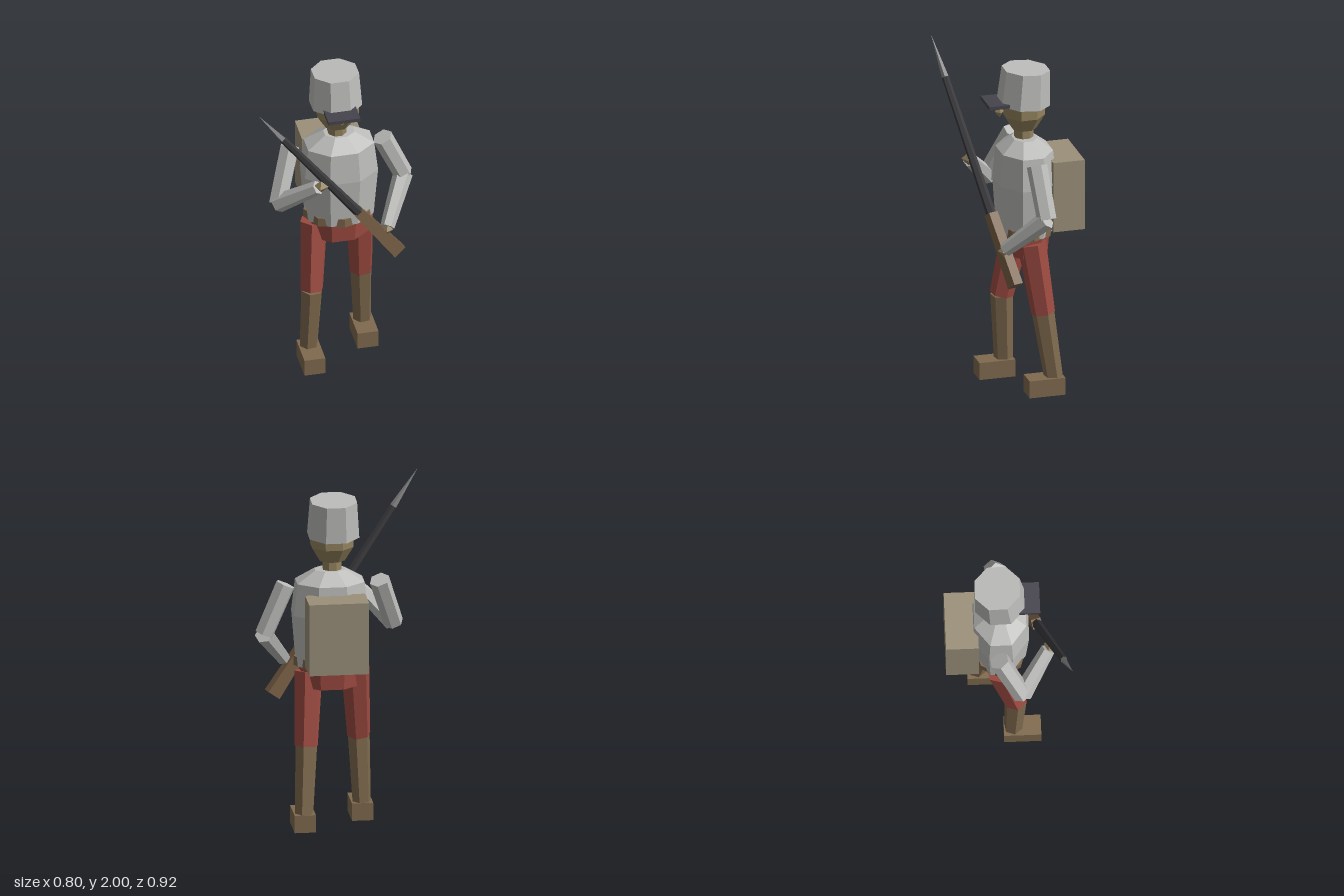
import * as THREE from 'three';

const paint = (name, color) => {
  const m = new THREE.MeshStandardMaterial({ color });
  m.name = name;
  return m;
};

export function createModel() {
  const cloth = paint('grey cloth', 0xbcbcba);
  const red = paint('red trousers', 0x9f4c42);
  const leather = paint('brown leather', 0x7f6a4e);
  const skin = paint('skin', 0x94845f);
  const canvas = paint('pack canvas', 0x9b907a);
  const wood = paint('stock wood', 0x7a6146);
  const iron = paint('barrel iron', 0x3a3a3d);
  const visorDark = paint('visor', 0x45444d);
  const steel = paint('bayonet steel', 0x8a8a8a);

  const TURN = 0.349; // the figure stands turned towards its left
  const V = (x, y, z) => new THREE.Vector3(x, y, z);
  const model = new THREE.Group();
  model.name = 'soldier';
  const body = new THREE.Group();
  body.name = 'body';
  body.position.set(-0.01, 0, -0.105);
  body.rotation.y = TURN;
  model.add(body);

  // Faceted mesh
  const add = (parent, name, geometry, material) => {
    const g = geometry.index ? geometry.toNonIndexed() : geometry;
    g.computeVertexNormals();
    const mesh = new THREE.Mesh(g, material);
    mesh.name = name;
    parent.add(mesh);
    return mesh;
  };
  // Eight-sided turned shape, closed at both ends, flat side forward
  const turned = (name, profile, depth, material, phase = Math.PI / 8) => {
    const pts = [[0, profile[0][1]], ...profile, [0, profile[profile.length - 1][1]]];
    const g = new THREE.LatheGeometry(pts.map(p => new THREE.Vector2(...p)), 8, phase);
    g.scale(1, 1, depth);
    return add(body, name, g, material);
  };
  const box = (parent, name, size, pos, material) => {
    const mesh = add(parent, name, new THREE.BoxGeometry(...size), material);
    mesh.position.set(...pos);
    return mesh;
  };
  // Tapered prism between two points
  const limb = (name, a, b, ra, rb, material, sides = 6) => {
    const dir = b.clone().sub(a);
    const mesh = add(model, name, new THREE.CylinderGeometry(rb, ra, dir.length(), sides), material);
    mesh.position.copy(a).addScaledVector(dir, 0.5);
    mesh.quaternion.setFromUnitVectors(V(0, 1, 0), dir.normalize());
    return mesh;
  };

  // Trunk
  turned('jacket', [[0.208, 0.97], [0.235, 1.28], [0.212, 1.47], [0.095, 1.54]], 0.77, cloth);
  turned('belt', [[0.212, 0.965], [0.212, 1.02]], 0.77, leather, 0);
  turned('pelvis', [[0.175, 0.84], [0.19, 0.97]], 0.75, red);
  box(body, 'backpack', [0.35, 0.43, 0.19], [-0.015, 1.205, -0.224], canvas);

  // Head and cap
  turned('neck', [[0.057, 1.5], [0.057, 1.62]], 1, skin).position.x = -0.012;
  turned('head', [[0.078, 1.595], [0.13, 1.68], [0.132, 1.75]], 0.95, skin).position.x = -0.012;
  const nose = add(body, 'nose', new THREE.OctahedronGeometry(0.028), skin);
  nose.position.set(-0.018, 1.705, 0.145);
  nose.scale.y = 1.25;
  const cap = add(body, 'cap',
    new THREE.CylinderGeometry(0.142, 0.157, 0.215, 8, 1, false, Math.PI / 8), cloth);
  cap.position.set(-0.02, 1.85, -0.008);
  cap.rotation.x = -0.07;
  box(body, 'visor', [0.19, 0.022, 0.123], [-0.019, 1.765, 0.169], visorDark);

  // Legs: hip, knee, ankle, foot centre
  const legs = {
    right: [V(-0.15, 0.93, -0.055), V(-0.15, 0.505, 0.036), V(-0.17, 0.09, 0.027), [-0.15, 0.0525, 0.077]],
    left: [V(0.105, 0.93, -0.155), V(0.103, 0.495, -0.222), V(0.102, 0.09, -0.283), [0.12, 0.0525, -0.232]],
  };
  for (const [side, [hip, knee, ankle, foot]] of Object.entries(legs)) {
    limb(side + 'Thigh', knee, hip, 0.07, 0.085, red);
    limb(side + 'Shin', ankle, knee, 0.055, 0.066, leather);
    box(model, side + 'Boot', [0.124, 0.105, 0.216], foot, leather).rotation.y = TURN;
  }

  // Arms: shoulder, elbow, wrist, hand centre, hand radius
  const arms = {
    right: [V(-0.285, 1.465, -0.02), V(-0.335, 1.165, 0.135), V(-0.09, 1.355, 0.215), V(-0.07, 1.37, 0.222), 0.042],
    left: [V(0.232, 1.455, -0.195), V(0.345, 1.165, -0.26), V(0.285, 0.95, -0.015), V(0.287, 0.94, -0.005), 0.034],
  };
  for (const [side, [shoulder, elbow, wrist, hand, r]] of Object.entries(arms)) {
    limb(side + 'UpperArm', elbow, shoulder, 0.057, 0.06, cloth);
    limb(side + 'Forearm', elbow, wrist, 0.057, 0.042, cloth);
    add(model, side + 'Hand', new THREE.OctahedronGeometry(r), skin).position.copy(hand);
  }

  // Rifle along one slanting line from bayonet tip to butt
  const tip = V(-0.4, 2.0, 0.46), butt = V(0.338, 0.745, -0.078);
  const along = t => tip.clone().lerp(butt, t);
  limb('bayonet', along(0.165), tip, 0.02, 0.001, steel, 4);
  limb('barrel', along(0.73), along(0.165), 0.029, 0.021, iron);

  // Stock, broader towards the butt
  const start = along(0.71), dir = butt.clone().sub(start), length = dir.length();
  dir.normalize();
  const across = V(0, 1, 0).cross(dir).normalize();
  const upward = dir.clone().cross(across);
  const stockShape = new THREE.BoxGeometry(0.058, 0.086, length);
  const p = stockShape.attributes.position;
  for (let i = 0; i < p.count; i++) {
    if (p.getZ(i) < 0) p.setY(i, p.getY(i) * 0.7);
  }
  const stock = add(model, 'rifleStock', stockShape, wood);
  stock.quaternion.setFromRotationMatrix(new THREE.Matrix4().makeBasis(across, upward, dir));
  stock.position.copy(start).addScaledVector(dir, length / 2);

  return model;
}
